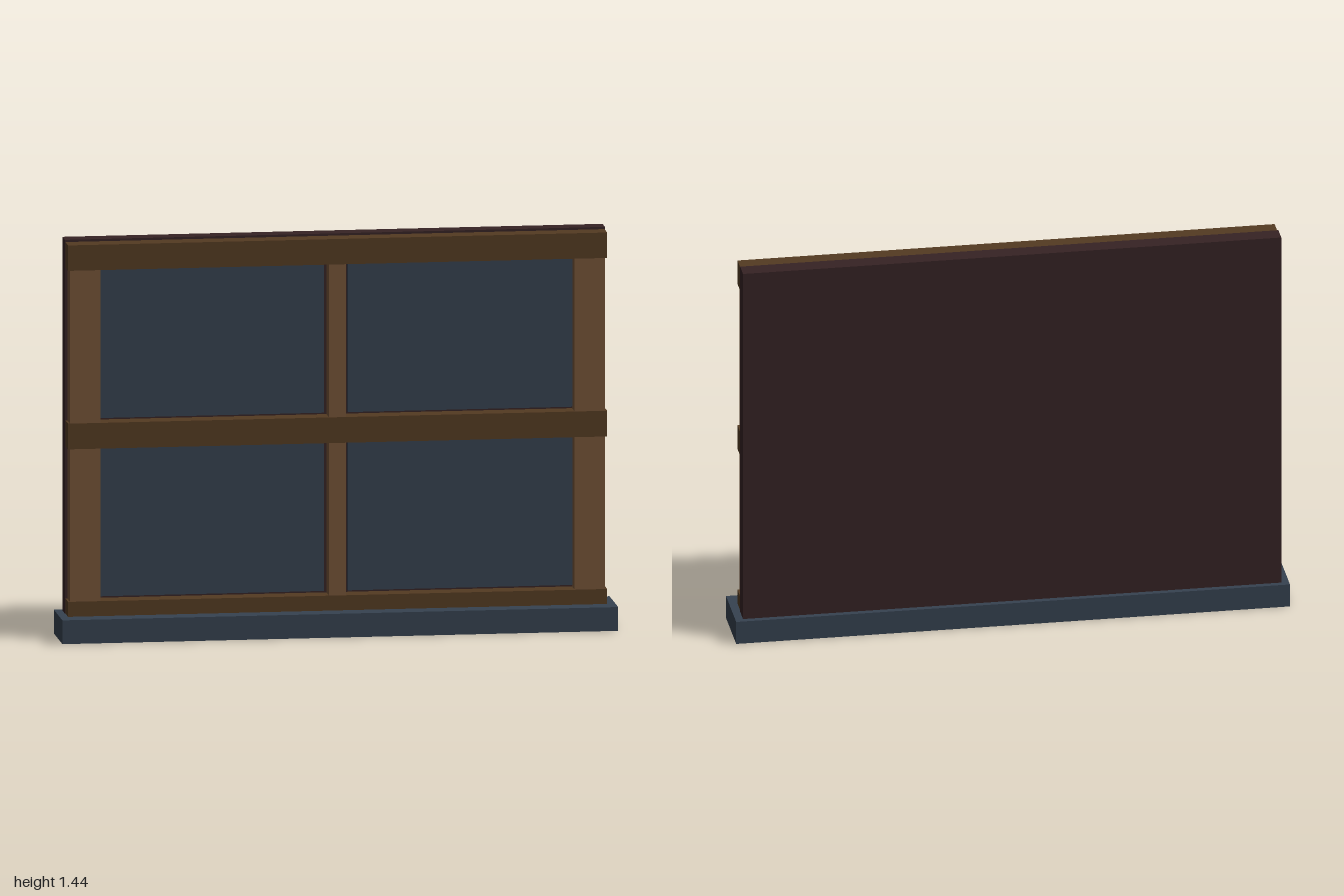
import * as THREE from 'three';

export function createModel() {
  const group = new THREE.Group();
  const material = (name, color) => {
    const m = new THREE.MeshStandardMaterial({ color });
    m.name = name;
    return m;
  };
  const slate = material('slate blue', 0x364250);
  const darkWood = material('dark wood', 0x543b22);
  const lightWood = material('light wood', 0x755437);
  const maroon = material('dark maroon', 0x362324);

  // Box given by its lower and upper corners
  const box = (name, mat, x0, x1, y0, y1, z0, z1) => {
    const mesh = new THREE.Mesh(new THREE.BoxGeometry(x1 - x0, y1 - y0, z1 - z0), mat);
    mesh.position.set((x0 + x1) / 2, (y0 + y1) / 2, (z0 + z1) / 2);
    mesh.name = name;
    group.add(mesh);
  };

  // Plinth and back board
  box('base', slate, -1, 1, 0, 0.086, -0.113, 0.113);
  box('backBoard', maroon, -0.972, 0.972, 0.086, 1.438, -0.092, -0.028);

  // Horizontal rails, slightly proud of the posts
  const rails = [['bottomRail', 0.086, 0.14], ['middleRail', 0.692, 0.785], ['topRail', 1.338, 1.43]];
  for (const [name, y0, y1] of rails) box(name, darkWood, -0.97, 0.97, y0, y1, -0.028, 0.043);

  // Posts and panes between the rails
  const bays = [['lower', 0.14, 0.692, 0.15], ['upper', 0.785, 1.338, 0.795]];
  for (const [level, y0, y1, paneBottom] of bays) {
    box(level + 'CentrePost', lightWood, -0.031, 0.031, y0, y1, -0.028, 0.039);
    for (const [side, s] of [['Left', 1], ['Right', -1]]) {
      const span = (a, b) => [Math.min(s * a, s * b), Math.max(s * a, s * b)];
      box(level + side + 'Post', lightWood, ...span(0.853, 0.963), y0, y1, -0.028, 0.039);
      box(level + side + 'Pane', slate, ...span(0.043, 0.851), paneBottom, y1 - 0.003, -0.028, 0);
    }
  }
  return group;
}
